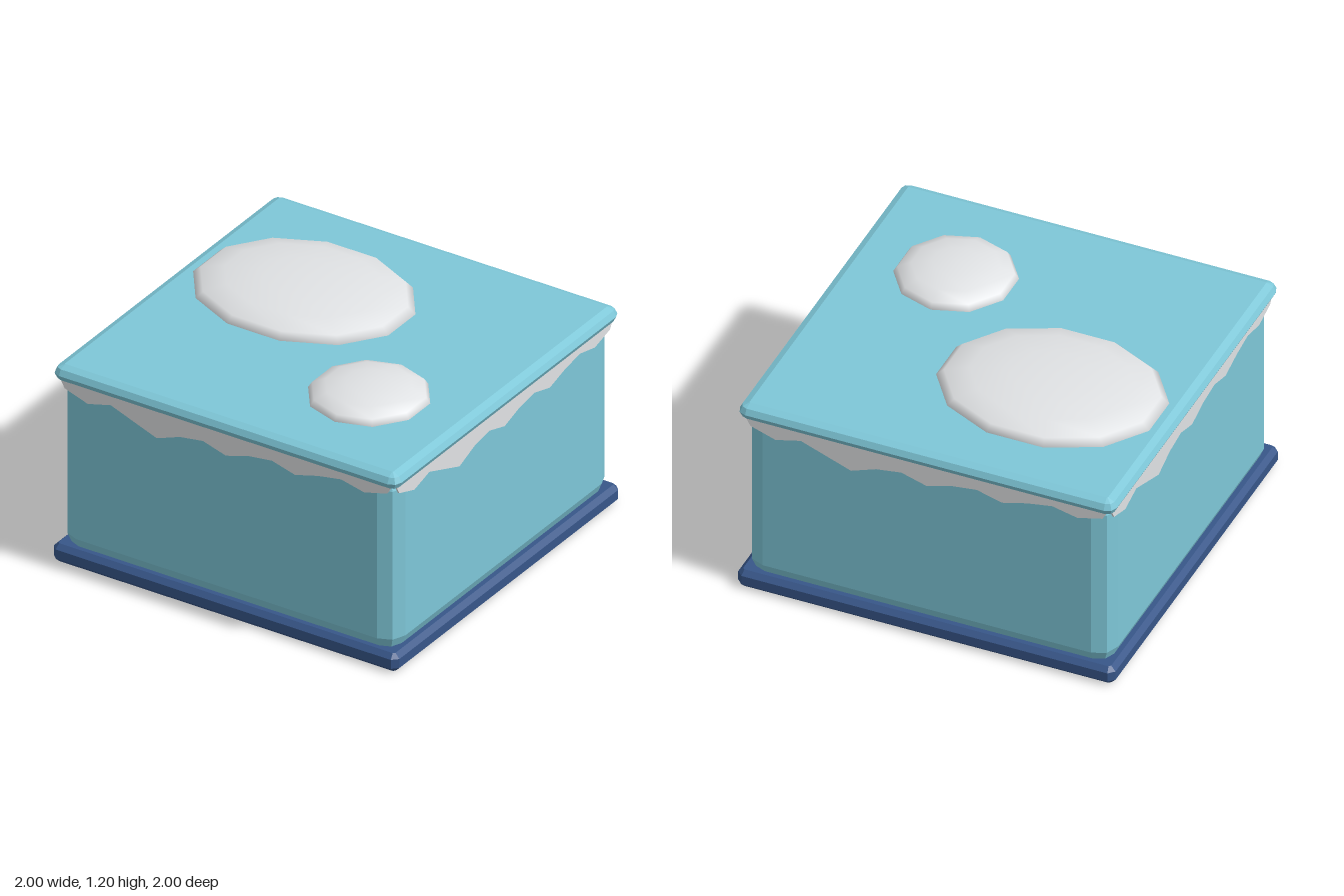
import * as THREE from 'three';

const mat = (name, color) => {
  const m = new THREE.MeshStandardMaterial({ color });
  m.name = name;
  return m;
};

// Square block lofted from rings [y, half width, corner radius], with faceted corners
function bevelBlock(rings, cornerSegments) {
  const pos = [], idx = [], n = 4 * (cornerSegments + 1);
  for (const [y, h, r] of rings) {
    for (let c = 0; c < 4; c++) {
      const q = c * Math.PI / 2;
      const cx = (h - r) * Math.SQRT2 * Math.cos(q + Math.PI / 4);
      const cz = (h - r) * Math.SQRT2 * Math.sin(q + Math.PI / 4);
      for (let s = 0; s <= cornerSegments; s++) {
        const a = q + (s / cornerSegments) * Math.PI / 2;
        pos.push(cx + r * Math.cos(a), y, cz + r * Math.sin(a));
      }
    }
  }
  for (let k = 0; k < rings.length - 1; k++) {
    for (let i = 0; i < n; i++) {
      const a = k * n + i, b = k * n + (i + 1) % n;
      idx.push(a, a + n, b, b, a + n, b + n);
    }
  }
  // Bottom and top caps
  const top = (rings.length - 1) * n;
  for (let i = 1; i < n - 1; i++) {
    idx.push(0, i, i + 1, top, top + i + 1, top + i);
  }
  const g = new THREE.BufferGeometry();
  g.setAttribute('position', new THREE.Float32BufferAttribute(pos, 3));
  g.setIndex(idx);
  const flat = g.toNonIndexed();
  flat.computeVertexNormals();
  return flat;
}

export function createModel() {
  const group = new THREE.Group();
  const teal = mat('iceTeal', 0x7ec7d8);
  const navy = mat('baseNavy', 0x375689);
  const snow = mat('snowWhite', 0xe0e2e4);

  const add = (name, geometry, material) => {
    const mesh = new THREE.Mesh(geometry, material);
    mesh.name = name;
    group.add(mesh);
    return mesh;
  };

  // Base slab
  add('base', bevelBlock([
    [0, 0.975, 0.01], [0.025, 1, 0.03], [0.075, 1, 0.03], [0.1, 0.975, 0.01],
  ], 1), navy);

  // Main block with rounded corners
  add('body', bevelBlock([
    [0.05, 0.87, 0.005], [0.08, 0.94, 0.07], [0.15, 0.97, 0.1],
    [0.98, 0.97, 0.1], [1.05, 0.94, 0.07],
  ], 2), teal);

  // Lid slab with a rounded rim
  add('lid', bevelBlock([
    [1.01, 0.95, 0.005], [1.025, 0.985, 0.035], [1.055, 1, 0.05],
    [1.085, 0.985, 0.035], [1.1, 0.95, 0.005],
  ], 2), teal);

  // Jagged snow edge hanging below the lid, repeated on all four sides
  const drip = [0.98, 0.935, 0.97, 0.92, 0.87, 0.92, 0.94, 0.9,
    0.94, 0.957, 0.92, 0.957, 0.98, 0.95, 0.985];
  const shape = new THREE.Shape();
  shape.moveTo(0.96, 1.03);
  shape.lineTo(-0.96, 1.03);
  drip.forEach((y, i) => shape.lineTo(-0.933 + i * 0.1333, y));
  const dripGeometry = new THREE.ExtrudeGeometry(shape, { depth: 0.009, bevelEnabled: false });
  dripGeometry.translate(0, 0, 0.967);
  for (let i = 0; i < 4; i++) {
    add('snowEdge' + (i + 1), dripGeometry, snow).rotation.y = i * Math.PI / 2;
  }

  // Low snow mounds on the lid
  const mound = (name, sides, x, z, rx, ry, rz) => {
    const g = new THREE.SphereGeometry(1, sides, 4, Math.PI / sides, Math.PI * 2, 0, Math.PI / 2);
    g.scale(rx, ry, rz);
    add(name, g, snow).position.set(x, 1.095, z);
  };
  mound('largeSnowMound', 12, -0.35, -0.255, 0.59, 0.105, 0.472);
  mound('smallSnowMound', 10, 0.45, 0.395, 0.31, 0.093, 0.31);

  return group;
}
